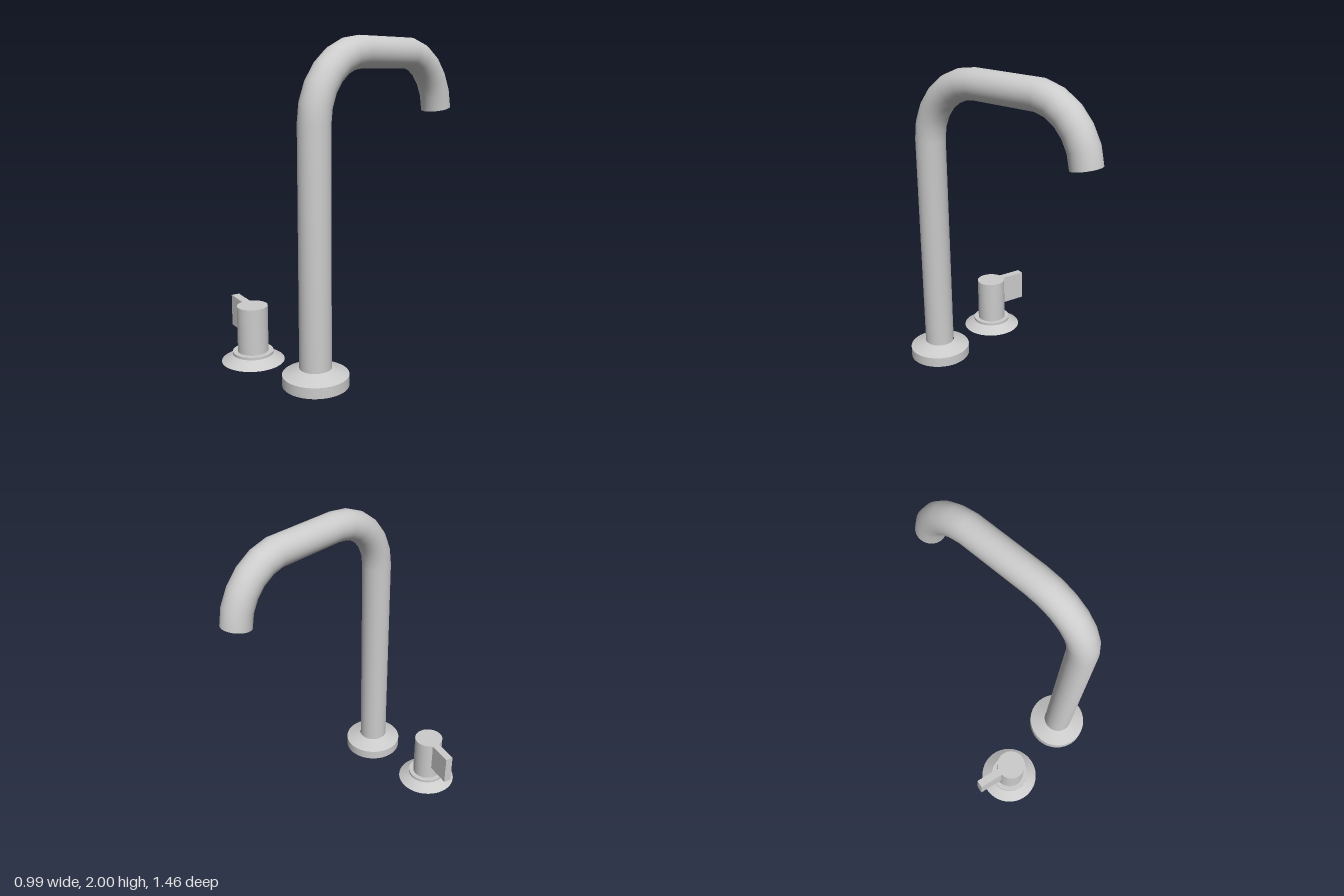
import * as THREE from 'three';
import { toCreasedNormals } from 'three/addons/utils/BufferGeometryUtils.js';

const material = new THREE.MeshStandardMaterial({ color: 0xcccccc });
const openMaterial = new THREE.MeshStandardMaterial({ color: 0xcccccc, side: THREE.DoubleSide });

function lathe(name, profile, mat) {
  const points = profile.map(([r, y]) => new THREE.Vector2(r, y));
  const geometry = toCreasedNormals(new THREE.LatheGeometry(points, 48), 0.35);
  const mesh = new THREE.Mesh(geometry, mat);
  mesh.name = name;
  return mesh;
}

// Capped pipe with mitred joints along a path of [z, y] points
function pipe(path, radius) {
  const n = path.length - 1;
  const pts = path.map(([z, y]) => new THREE.Vector2(z, y));
  const dirs = pts.slice(1).map((p, i) => p.clone().sub(pts[i]).normalize());
  const geometry = new THREE.CylinderGeometry(radius, radius, 1, 40, n);
  const pos = geometry.attributes.position;
  const nor = geometry.attributes.normal;
  for (let v = 0; v < pos.count; v++) {
    const i = Math.round((pos.getY(v) + 0.5) * n);
    const before = dirs[Math.max(i - 1, 0)];
    const t = before.clone().add(dirs[Math.min(i, n - 1)]).normalize();
    const offset = pos.getZ(v) / t.dot(before);
    pos.setXYZ(v, pos.getX(v), pts[i].y - t.x * offset, pts[i].x + t.y * offset);
    const ny = nor.getY(v), nz = nor.getZ(v);
    nor.setXYZ(v, nor.getX(v), t.y * ny - t.x * nz, t.x * ny + t.y * nz);
  }
  return geometry;
}

export function createModel() {
  const model = new THREE.Group();
  model.name = 'faucet';

  // Spout: upright, large rear bend, near-level run, tighter outlet bend
  const path = [[0.535, 0.06]];
  for (let i = 0; i <= 6; i++) {
    const a = (i / 6) * Math.PI / 2;
    path.push([0.15 + 0.385 * Math.cos(a), 1.52 + 0.385 * Math.sin(a)]);
  }
  path.push([-0.322, 1.897], [-0.418, 1.868], [-0.506, 1.81],
    [-0.57, 1.735], [-0.615, 1.645], [-0.635, 1.541]);
  const spout = new THREE.Mesh(pipe(path, 0.095), material);
  spout.name = 'spout';
  spout.position.x = 0.295;
  model.add(spout);

  // Solid foot of the spout
  const base = lathe('spoutBase', [[0, 0], [0.197, 0], [0.197, 0.065], [0.095, 0.105]], material);
  base.position.set(0.295, 0, 0.533);
  model.add(base);

  // Handle: flared flange, collar and knob, hollow underneath
  const handle = new THREE.Group();
  handle.name = 'handle';
  handle.position.set(-0.247, 0, 0.53);
  handle.add(lathe('flange', [[0.197, 0], [0.122, 0.045]], openMaterial));
  handle.add(lathe('collar', [[0.122, 0.045], [0.127, 0.045], [0.127, 0.062], [0.096, 0.062]], openMaterial));
  handle.add(lathe('knob', [[0.096, 0.062], [0.096, 0.355], [0, 0.355]], openMaterial));

  // Flat lever pointing out sideways and slightly back
  const lever = new THREE.Mesh(new THREE.BoxGeometry(0.17, 0.2, 0.052), material);
  lever.name = 'lever';
  lever.position.set(-0.173, 0.2545, 0);
  const arm = new THREE.Group();
  arm.name = 'leverArm';
  arm.rotation.y = -0.297;
  arm.add(lever);
  handle.add(arm);
  model.add(handle);

  return model;
}
